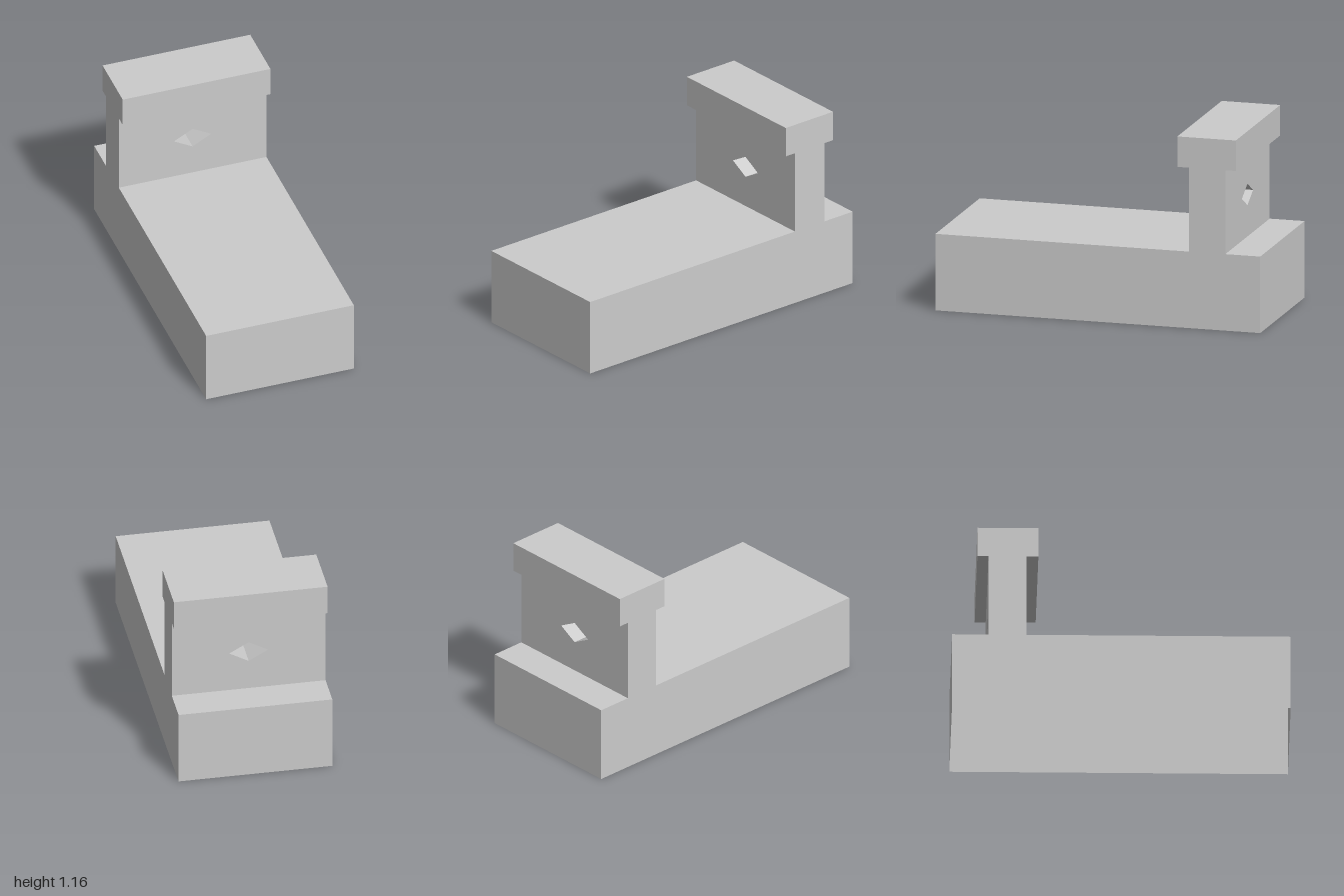
import * as THREE from 'three';

const W = 0.462; // half width
const BASE_TOP = 0.465, RAIL_BOTTOM = 0.975, TOP = 1.16;
const WALL_FRONT = -0.56, WALL_BACK = -0.785;
const HOLE = [[0.117, 0.72], [0, 0.785], [-0.117, 0.72], [0, 0.655]];

const material = new THREE.MeshStandardMaterial({
  color: 0xcccccc, flatShading: true, side: THREE.DoubleSide,
});

// Flat quads from a closed or open path of a pair of edges: path[i] = [cornerA, cornerB]
function strip(path) {
  const pos = [];
  for (let i = 0; i + 1 < path.length; i++) {
    const [a, b] = path[i], [d, c] = path[i + 1];
    pos.push(...a, ...b, ...c, ...a, ...c, ...d);
  }
  const g = new THREE.BufferGeometry();
  g.setAttribute('position', new THREE.Float32BufferAttribute(pos, 3));
  g.computeVertexNormals();
  return g;
}

// Sweep a [z, y] path across the full width
const sweep = (pts) => strip(pts.map(([z, y]) => [[-W, y, z], [W, y, z]]));

const shapeOf = (pts) => new THREE.Shape(pts.map(([x, y]) => new THREE.Vector2(x, y)));

export function createModel() {
  const model = new THREE.Group();
  const add = (name, geometry, parent = model) => {
    const mesh = new THREE.Mesh(geometry, material);
    mesh.name = name;
    parent.add(mesh);
    return mesh;
  };

  // Base: thin shell, open underneath and below the upright wall
  const frontProfile = [[1, 0], [1, BASE_TOP], [WALL_FRONT, BASE_TOP]];
  const backProfile = [[WALL_BACK, BASE_TOP], [-1, BASE_TOP], [-1, 0]];
  add('baseFront', sweep(frontProfile));
  add('baseBack', sweep(backProfile));

  // Top rail: overhangs the wall on both sides
  const railProfile = [
    [WALL_FRONT, RAIL_BOTTOM], [-0.49, RAIL_BOTTOM], [-0.49, TOP],
    [-0.85, TOP], [-0.85, RAIL_BOTTOM], [WALL_BACK, RAIL_BOTTOM],
  ];
  add('topRail', sweep(railProfile));

  // Upright wall: two panels pierced by a diamond opening
  const wall = new THREE.Group();
  wall.name = 'uprightWall';
  model.add(wall);
  const panel = shapeOf([[-W, BASE_TOP], [W, BASE_TOP], [W, RAIL_BOTTOM], [-W, RAIL_BOTTOM]]);
  panel.holes.push(shapeOf(HOLE));
  add('wallFront', new THREE.ShapeGeometry(panel), wall).position.z = WALL_FRONT;
  add('wallBack', new THREE.ShapeGeometry(panel).rotateY(Math.PI), wall).position.z = WALL_BACK;
  add('diamondOpening', strip([...HOLE, HOLE[0]].map(
    ([x, y]) => [[x, y, WALL_FRONT], [x, y, WALL_BACK]])), wall);

  // Side faces: one continuous outline on each side
  const outline = [...frontProfile, ...railProfile, ...backProfile];
  for (const s of [-1, 1]) {
    const side = new THREE.ShapeGeometry(shapeOf(outline.map(([z, y]) => [-s * z, y])));
    add(s > 0 ? 'leftSide' : 'rightSide', side.rotateY(s * Math.PI / 2)).position.x = s * W;
  }
  return model;
}
